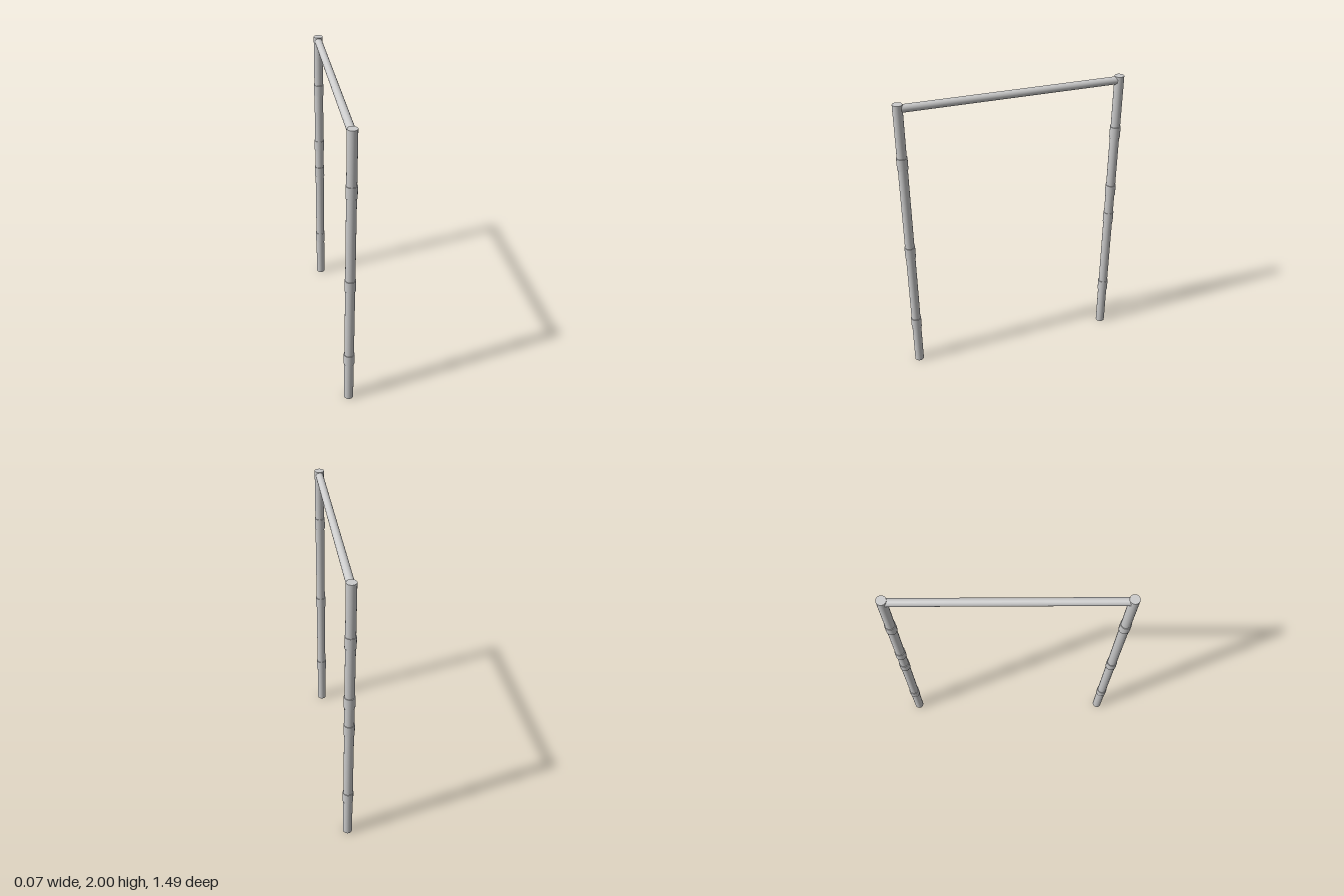
import * as THREE from 'three';

const material = new THREE.MeshStandardMaterial({ color: 0xcccccc });

function rod(name, radius, length, y, z) {
  const mesh = new THREE.Mesh(new THREE.CylinderGeometry(radius, radius, length, 32), material);
  mesh.name = name;
  mesh.position.set(0, y, z);
  return mesh;
}

export function createModel() {
  const model = new THREE.Group();
  model.name = 'goalFrame';
  const postZ = 0.711;

  // Upright posts with sleeve collars; the back post carries one extra collar
  const posts = [
    ['frontPost', postZ, [0.34, 0.942, 1.607]],
    ['backPost', -postZ, [0.34, 0.942, 1.164, 1.607]],
  ];
  for (const [name, z, collarHeights] of posts) {
    const post = new THREE.Group();
    post.name = name;
    post.add(rod('postTube', 0.031, 2, 1, z));
    for (const y of collarHeights) post.add(rod('collar', 0.035, 0.08, y, z));
    model.add(post);
  }

  // Crossbar running between the post tops
  const bar = rod('crossbar', 0.025, postZ * 2, 1.971, 0);
  bar.rotation.x = Math.PI / 2;
  model.add(bar);

  return model;
}
